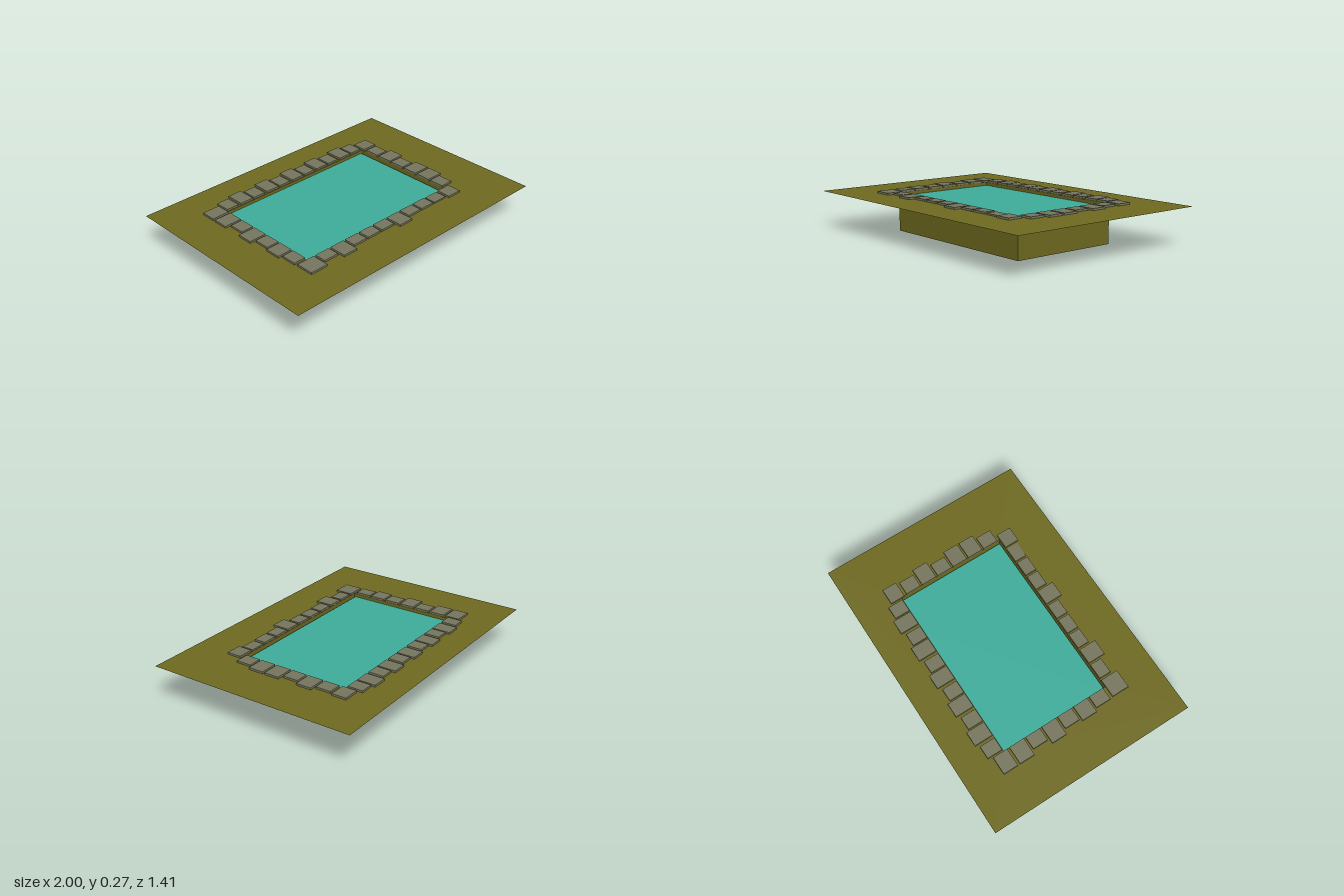
import * as THREE from 'three';

const GROUND_Y = 0.257;
const POOL = { x0: -0.61, x1: 0.595, z0: -0.395, z1: 0.355 };

const earthMat = new THREE.MeshStandardMaterial({ color: 0x6f6a20, side: THREE.DoubleSide });
const waterMat = new THREE.MeshStandardMaterial({ color: 0x3fae9c });
const stoneMat = new THREE.MeshStandardMaterial({ color: 0x77775f });

// Box given by its limits on each axis
function block(name, mat, x0, x1, y0, y1, z0, z1) {
  const mesh = new THREE.Mesh(new THREE.BoxGeometry(x1 - x0, y1 - y0, z1 - z0), mat);
  mesh.position.set((x0 + x1) / 2, (y0 + y1) / 2, (z0 + z1) / 2);
  mesh.name = name;
  return mesh;
}

// Thin rectangle lying flat or standing up
function sheet(name, w, h, pos, rot) {
  const mesh = new THREE.Mesh(new THREE.PlaneGeometry(w, h), earthMat);
  mesh.position.set(...pos);
  mesh.rotation.set(...rot);
  mesh.name = name;
  return mesh;
}

export function createModel() {
  const model = new THREE.Group();
  model.name = 'pond';
  const { x0, x1, z0, z1 } = POOL;

  // Flat ground with a rectangular opening
  const outline = (l, r, f, b) =>
    [[l, f], [r, f], [r, b], [l, b]].map(([x, z]) => new THREE.Vector2(x, -z));
  const shape = new THREE.Shape(outline(-1, 1, 0.707, -0.707));
  shape.holes.push(new THREE.Path(outline(x0, x1, z1, z0)));
  const ground = new THREE.Mesh(new THREE.ShapeGeometry(shape), earthMat);
  ground.rotation.x = -Math.PI / 2;
  ground.position.y = GROUND_Y;
  ground.name = 'ground';
  model.add(ground);

  // Open basin sunk below the ground
  const w = x1 - x0, d = z1 - z0, cx = (x0 + x1) / 2, cz = (z0 + z1) / 2, h = GROUND_Y / 2;
  const basin = new THREE.Group();
  basin.name = 'basin';
  basin.add(
    sheet('floor', w, d, [cx, 0, cz], [-Math.PI / 2, 0, 0]),
    sheet('frontWall', w, GROUND_Y, [cx, h, z1], [0, 0, 0]),
    sheet('backWall', w, GROUND_Y, [cx, h, z0], [0, Math.PI, 0]),
    sheet('leftWall', d, GROUND_Y, [x1, h, cz], [0, Math.PI / 2, 0]),
    sheet('rightWall', d, GROUND_Y, [x0, h, cz], [0, -Math.PI / 2, 0]),
  );
  model.add(basin);

  // Water slab, reaching past the back and right walls
  model.add(block('water', waterMat, -0.632, 0.58, 0.219, 0.235, -0.595, 0.347));

  // Border of paving stones
  const border = new THREE.Group();
  border.name = 'stoneBorder';
  const stone = (sx0, sx1, sz0, sz1, drop = 0) =>
    border.add(block('stone', stoneMat, sx0, sx1, GROUND_Y - drop, 0.27 - drop, sz0, sz1));

  // Back row, alternating short and long
  for (let i = 0; i < 11; i++) {
    const x = -0.6 + i * 0.1085;
    const long = i % 2;
    stone(x, x + (long ? 0.098 : 0.088), long ? -0.525 : -0.503, -0.4);
  }
  // Back corners
  stone(-0.733, -0.612, -0.473, -0.373);
  stone(0.588, 0.697, -0.473, -0.375);

  // Side columns, each stone with its own outer edge
  const rightEdges = [-0.733, -0.7, -0.733, -0.7, -0.716, -0.695];
  const leftEdges = [0.683, 0.713, 0.683, 0.713, 0.713, 0.683];
  for (let i = 0; i < 6; i++) {
    const z = -0.356 + i * 0.1175;
    stone(rightEdges[i], -0.612, z, z + 0.104);
    stone(0.592, leftEdges[i], z, z + 0.104);
  }

  // Front row: start and end in x, depth limit, slight sink for a few
  const frontEdges = [0.475, 0.437, 0.475, 0.437, 0.437, 0.437, 0.475, 0.437, 0.437, 0.437, 0.455];
  frontEdges.forEach((z, i) => {
    const x = i === 0 ? -0.69 : -0.67 + i * 0.1193;
    const width = i === 0 ? 0.125 : 0.105;
    stone(x, x + width, 0.357, z, i === 9 ? 0.004 : 0);
  });
  model.add(border);

  return model;
}
